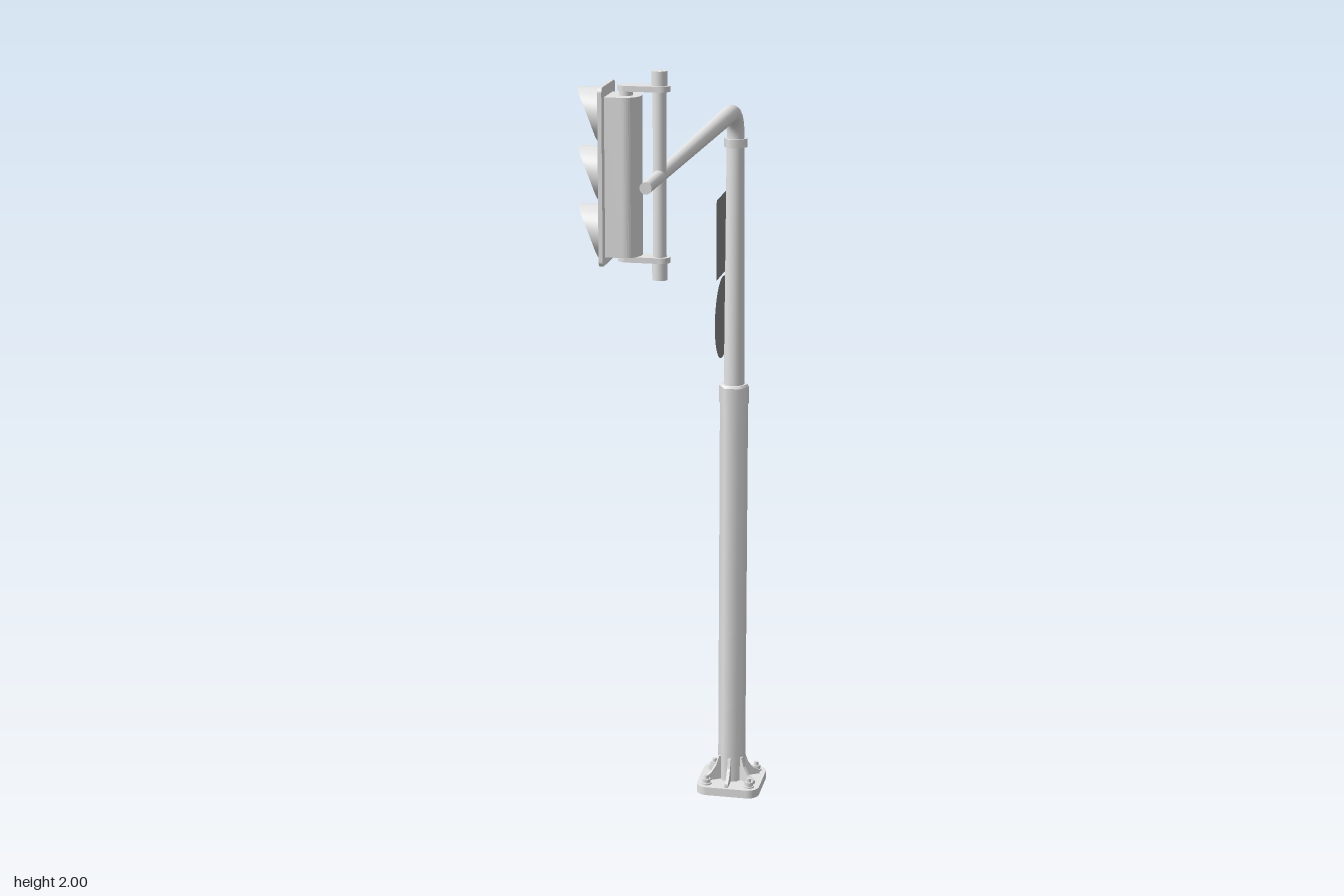
import * as THREE from 'three';

const POLE_X = 0.045, POLE_Z = -0.462, HEAD_X = 0.003, HEAD_Z = 0.422;

export function createModel() {
  const model = new THREE.Group();
  const mat = (name, color, side = THREE.FrontSide) => {
    const m = new THREE.MeshStandardMaterial({ color, side });
    m.name = name;
    return m;
  };
  const steel = mat('galvanised steel', 0xe4e4e4, THREE.DoubleSide);
  const signGrey = mat('sign back grey', 0x888888);
  const white = mat('sign white', 0xf4f4f4);
  const blue = mat('sign blue', 0x1c1cba);
  const red = mat('sign red', 0xc41c18);
  const black = mat('sign black', 0x151515);

  const add = (parent, name, geo, material, x = 0, y = 0, z = 0) => {
    const mesh = new THREE.Mesh(geo, material);
    mesh.name = name;
    mesh.position.set(x, y, z);
    parent.add(mesh);
    return mesh;
  };
  const group = (name, x, y, z, ry = 0) => {
    const g = new THREE.Group();
    g.name = name;
    g.position.set(x, y, z);
    g.rotation.y = ry;
    model.add(g);
    return g;
  };
  // Cylinder standing between two heights; six-sided ones have corners on x
  const post = (parent, name, r0, r1, y0, y1, x = 0, z = 0, sides = 24) => {
    const geo = new THREE.CylinderGeometry(r1, r0, y1 - y0, sides).rotateY(Math.PI / 2);
    return add(parent, name, geo, steel, x, (y0 + y1) / 2, z);
  };
  const roundedRect = (w, h, r, Type = THREE.Shape) => {
    const s = new Type(), a = w / 2, b = h / 2;
    s.absarc(a - r, b - r, r, 0, Math.PI / 2);
    s.absarc(-a + r, b - r, r, Math.PI / 2, Math.PI);
    s.absarc(-a + r, -b + r, r, Math.PI, Math.PI * 1.5);
    s.absarc(a - r, -b + r, r, Math.PI * 1.5, Math.PI * 2);
    s.closePath();
    return s;
  };
  const polygon = (pts) => new THREE.Shape(pts.map(([x, y]) => new THREE.Vector2(x, y)));
  const extrude = (shape, depth) =>
    new THREE.ExtrudeGeometry(shape, { depth, bevelEnabled: false, curveSegments: 12 });
  const slab = (shape, depth) => extrude(shape, depth).rotateX(-Math.PI / 2);

  // Base: plate with hollow underside, gussets and anchor bolts
  const base = group('base', POLE_X, 0, POLE_Z);
  add(base, 'basePlate', slab(roundedRect(0.164, 0.164, 0.03), 0.01), steel, 0, 0.012, 0);
  const rim = roundedRect(0.164, 0.164, 0.03);
  rim.holes.push(roundedRect(0.13, 0.13, 0.018, THREE.Path));
  add(base, 'baseRim', slab(rim, 0.012), steel);
  const gusset = extrude(polygon([[0.025, 0], [0.076, 0], [0.076, 0.01], [0.058, 0.02], [0.044, 0.04],
    [0.036, 0.064], [0.025, 0.064]]), 0.008).translate(0, 0, -0.004);
  for (let i = 0; i < 6; i++) {
    add(base, 'gusset', gusset, steel, 0, 0.022, 0).rotation.y = Math.PI / 6 + i * Math.PI / 3;
  }
  for (const sx of [-1, 1]) for (const sz of [-1, 1]) {
    post(base, 'washer', 0.014, 0.014, 0.022, 0.026, sx * 0.056, sz * 0.056, 16);
    post(base, 'nut', 0.011, 0.011, 0.026, 0.036, sx * 0.056, sz * 0.056, 6);
    post(base, 'anchorBolt', 0.006, 0.006, 0.02, 0.046, sx * 0.056, sz * 0.056, 12);
  }

  // Stepped pole
  const pole = group('pole', POLE_X, 0, POLE_Z);
  post(pole, 'lowerPole', 0.036, 0.036, 0.005, 1.04, 0, 0, 6);
  post(pole, 'lowerCollar', 0.038, 0.038, 1.04, 1.084, 0, 0, 6);
  post(pole, 'collarTaper', 0.038, 0.034, 1.084, 1.09, 0, 0, 6);
  post(pole, 'upperPole', 0.026, 0.022, 1.08, 1.69);
  post(pole, 'upperCollar', 0.029, 0.029, 1.687, 1.708, 0, 0, 6);

  // Tapering mast arm: tube rings are shrunk toward the path
  const path = new THREE.CurvePath();
  const v = (y, z) => new THREE.Vector3(POLE_X, y, z);
  path.add(new THREE.LineCurve3(v(1.69, POLE_Z), v(1.71, POLE_Z)));
  path.add(new THREE.CubicBezierCurve3(v(1.71, POLE_Z), v(1.755, POLE_Z), v(1.78, -0.43), v(1.78, -0.38)));
  path.add(new THREE.LineCurve3(v(1.78, -0.38), v(1.778, 0.562)));
  const rings = 90, sides = 20, arm = new THREE.TubeGeometry(path, rings, 1, sides);
  const p = new THREE.Vector3();
  for (let i = 0; i <= rings; i++) {
    const c = path.getPointAt(i / rings), r = 0.022 - 0.009 * i / rings;
    for (let j = 0; j <= sides; j++) {
      const k = i * (sides + 1) + j;
      p.fromBufferAttribute(arm.attributes.position, k).sub(c).multiplyScalar(r).add(c);
      arm.attributes.position.setXYZ(k, p.x, p.y, p.z);
    }
  }
  add(model, 'mastArm', arm, steel);
  add(model, 'armCap', new THREE.CircleGeometry(0.013, sides), steel, POLE_X, 1.778, 0.562);

  // Mounting tube with end caps and two brackets
  const mount = group('signalMount', HEAD_X, 0, HEAD_Z);
  const tubeX = POLE_X - HEAD_X;
  post(mount, 'mountTube', 0.0145, 0.0145, 1.6, 1.965, tubeX);
  post(mount, 'topCap', 0.0165, 0.0165, 1.96, 2.0, tubeX);
  post(mount, 'bottomCap', 0.0165, 0.0165, 1.555, 1.605, tubeX);
  const strap = slab(roundedRect(0.114, 0.04, 0.0199), 0.012);
  for (const [y, c] of [[1.957, 1.942], [1.593, 1.6]]) {
    add(mount, 'bracket', strap, steel, 0.008, y, 0);
    post(mount, 'bracketSpacer', 0.015, 0.015, c, c + 0.018, -0.03);
  }

  // Signal head, built facing local +z and turned to face -x
  const head = group('signalHead', HEAD_X, 0, HEAD_Z, -Math.PI / 2);
  const body = new THREE.Shape();
  body.moveTo(-0.041, -0.07);
  body.lineTo(0.041, -0.07);
  body.lineTo(0.041, -0.03);
  body.absellipse(0, -0.03, 0.041, 0.034, 0, Math.PI);
  body.closePath();
  add(head, 'housing', slab(body, 0.34), steel, 0, 1.607, 0);
  add(head, 'backplate', extrude(roundedRect(0.128, 0.38, 0.012), 0.009), steel, 0, 1.78, 0.068);
  for (let i = -1; i <= 1; i++) {
    const y = 1.78 + i * 0.125;
    add(head, 'lens', new THREE.SphereGeometry(0.05, 24, 6, 0, Math.PI * 2, 0, Math.PI / 2)
      .scale(1, 0.2, 1).rotateX(Math.PI / 2), steel, 0, y, 0.077);
    // Visor deepest at the top, sweeping back to a shallow ring at the bottom
    const visor = new THREE.CylinderGeometry(0.057, 0.057, 1, 32, 1, true).rotateX(Math.PI / 2);
    const pos = visor.attributes.position;
    for (let k = 0; k < pos.count; k++) {
      const t = 0.5 + 0.5 * pos.getY(k) / 0.057;
      pos.setZ(k, 0.077 + (pos.getZ(k) + 0.5) * (0.01 + 0.044 * t * t));
    }
    visor.computeVertexNormals();
    add(head, 'visor', visor, steel, 0, y, 0);
  }

  // Sheet signs: faces stacked closely in front of a grey back
  const face = (parent, name, shape, material, layer) =>
    add(parent, name, new THREE.ShapeGeometry(shape, 32), material, 0, 0, layer * 0.0005);
  const back = (parent, name, shape) => {
    face(parent, name, shape, signGrey, 0).rotation.y = Math.PI;
  };

  // Square sign with upward arrow
  const square = group('squareSign', 0.015, 1.47, POLE_Z, -Math.PI / 2);
  const panel = roundedRect(0.17, 0.2, 0.006);
  back(square, 'squareBack', panel);
  face(square, 'blueFace', panel, blue, 1);
  face(square, 'whiteArrow', polygon([[-0.006, -0.06], [0.006, -0.06], [0.006, 0.005], [0.025, 0.01],
    [0.018, 0.04], [0, 0.058], [-0.018, 0.04], [-0.025, 0.01], [-0.006, 0.005]]), white, 2);

  // Round prohibition sign
  const round = group('roundSign', 0.015, 1.26, POLE_Z, -Math.PI / 2);
  const circle = (r) => new THREE.Shape().absarc(0, 0, r, 0, Math.PI * 2);
  back(round, 'roundBack', circle(0.103));
  face(round, 'redBorder', circle(0.103), red, 1);
  face(round, 'whiteFace', circle(0.085), white, 2);
  face(round, 'turnArrow', polygon([[0.022, -0.04], [0.034, -0.04], [0.034, 0.026], [0.006, 0.026],
    [0.006, 0.038], [-0.02, 0.02], [0.006, 0.002], [0.006, 0.014], [0.022, 0.014]]), black, 3);
  face(round, 'redBar', polygon([[-0.086, -0.012], [0.086, -0.012], [0.086, 0.012], [-0.086, 0.012]]), red, 4)
    .rotation.z = -Math.PI / 4;

  return model;
}
